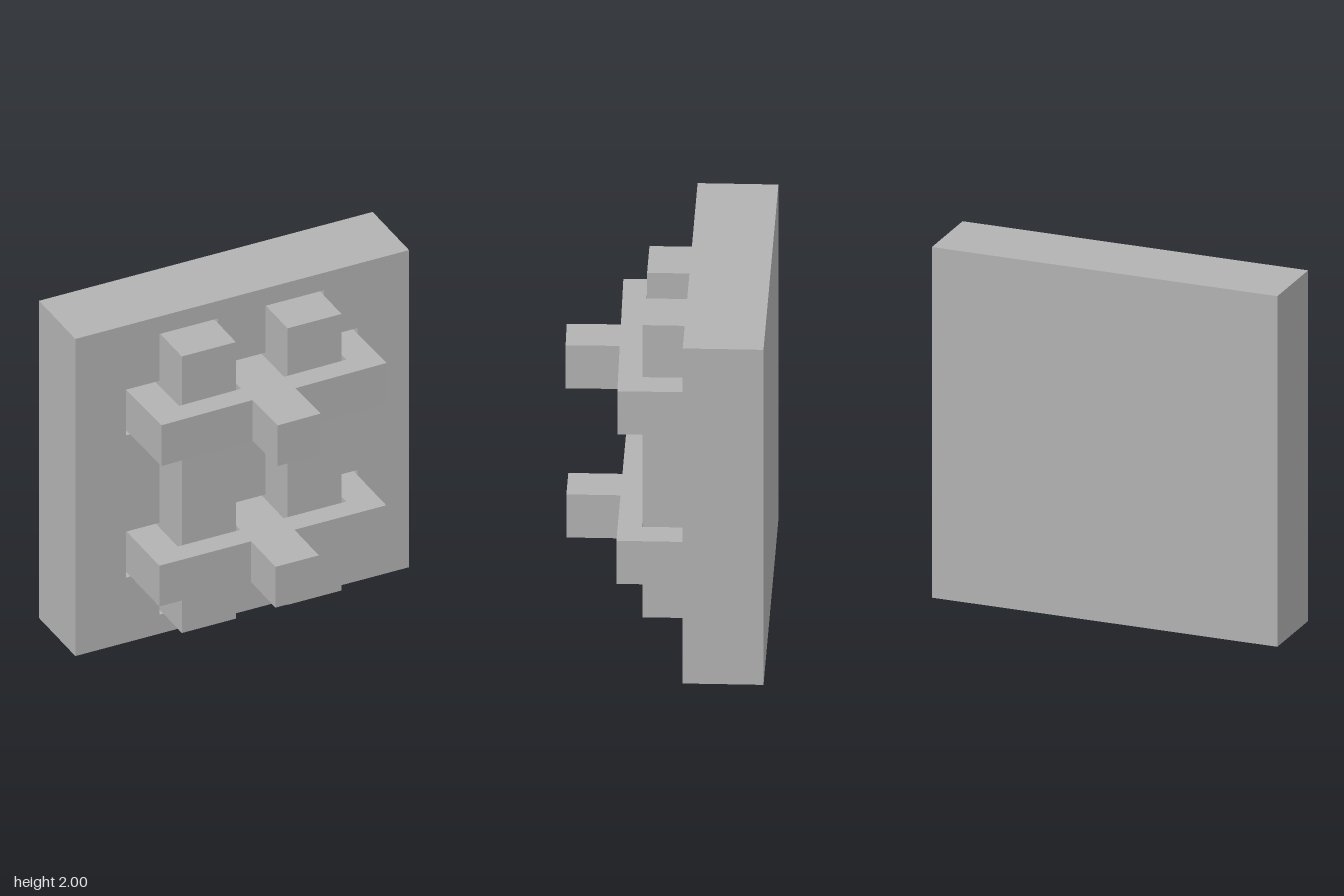
import * as THREE from 'three';

const grey = new THREE.MeshStandardMaterial({ color: 0xb2b2b2 });
grey.name = 'grey';

const FACE = -0.117, BACK = -0.55, FLOOR = -0.215;

function add(parent, name, geometry) {
  const mesh = new THREE.Mesh(geometry, grey);
  mesh.name = name;
  parent.add(mesh);
  return mesh;
}

// box given by its min and max on each axis
function span(x0, x1, y0, y1, z0, z1) {
  return new THREE.BoxGeometry(x1 - x0, y1 - y0, z1 - z0)
    .translate((x0 + x1) / 2, (y0 + y1) / 2, (z0 + z1) / 2);
}

const points = (list) => list.map(([x, y]) => new THREE.Vector2(x, y));

// block with a shallow ladder-shaped pocket in its front
function createBlock() {
  const block = new THREE.Group();
  block.name = 'block';
  add(block, 'blockBody', span(-1, 1, 0, 2, BACK, FLOOR));

  const face = new THREE.Shape(points([[-1, 0], [1, 0], [1, 2], [-1, 2]]));
  const half = [
    [0.14, 0.12], [0.49, 0.12], [0.49, 0.41], [0.69, 0.41], [0.69, 0.70], [0.49, 0.70],
    [0.49, 1.307], [0.69, 1.307], [0.69, 1.595], [0.49, 1.595], [0.49, 1.89], [0.14, 1.89],
    [0.14, 1.595],
  ];
  const foot = [0.14, 0.41];
  const right = [foot, ...half];
  const left = right.map(([x, y]) => [-x - 0.005, y]).reverse();
  face.holes.push(new THREE.Path(points([...right, ...left])));
  add(block, 'pocketedFace', new THREE.ExtrudeGeometry(face, { depth: FACE - FLOOR, bevelEnabled: false })
    .translate(0, 0, FLOOR));
  // raised land inside the ladder
  add(block, 'centreLand', span(-0.145, 0.14, 0.70, 1.307, FLOOR - 0.01, FACE));
  return block;
}

// three-legged clamp with a stub on its front, extruded upwards
function createClamp(name, y, z, turn) {
  const half = [
    [0.13, 0.545], [0.13, 0.255], [0.68, 0.255], [0.68, -0.2],
    [0.505, -0.2], [0.505, 0.125], [0.13, 0.125], [0.13, -0.2],
  ];
  const mirrored = half.map(([x, v]) => [-x, v]).reverse();
  const outline = new THREE.Shape(points([...half, ...mirrored]));
  const height = 0.257;
  const geometry = new THREE.ExtrudeGeometry(outline, { depth: height, bevelEnabled: false })
    .translate(0, 0, -height / 2)
    .rotateX(Math.PI / 2);
  const clamp = new THREE.Mesh(geometry, grey);
  clamp.name = name;
  clamp.position.set(-0.002, y, z);
  clamp.rotation.y = turn;
  return clamp;
}

export function createModel() {
  const model = new THREE.Group();
  model.name = 'clampedBarsBlock';
  model.add(createBlock());

  // upright bars seated in the pocket
  for (const [name, x] of [['rightBar', -0.319], ['leftBar', 0.314]]) {
    add(model, name, span(x - 0.162, x + 0.162, 0.132, 1.876, -0.205, 0.12));
  }

  // the upper clamp sits slightly askew
  model.add(createClamp('upperClamp', 1.451, 0.002, 0.016));
  model.add(createClamp('lowerClamp', 0.557, -0.004, 0));
  return model;
}
